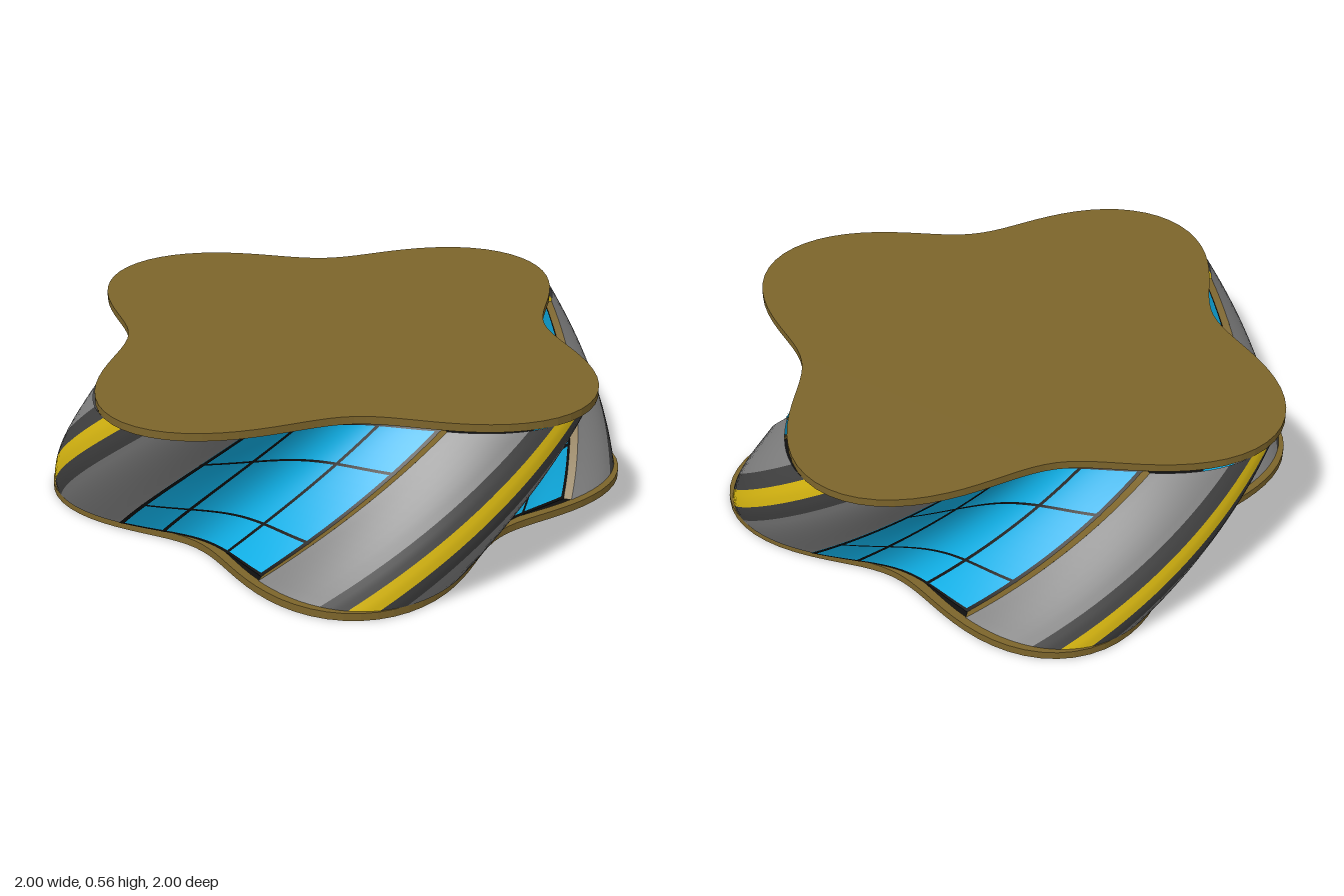
import * as THREE from 'three';

const RAD = Math.PI / 180;
const HEIGHT = 0.555, RIM = 0.026, SHIFT = -1.5;
const Y0 = RIM, Y1 = HEIGHT - RIM;
const mat = (color) => new THREE.MeshStandardMaterial({ color, side: THREE.DoubleSide });

// four-lobed plan, turned 45 degrees from floor to roof
const radius = (deg) => 0.847 + 0.143 * Math.cos(4 * deg * RAD);
const twist = (y) => 45 * y / HEIGHT;

// point on the twisted wall; deg is measured from a lobe crest, from +z towards +x
function wallPoint(deg, y, out) {
  const r = radius(deg) + out, a = (deg + twist(y)) * RAD;
  return [r * Math.sin(a), y, r * Math.cos(a)];
}

// surface patch from a rule (u, v) -> point
function patch(nu, nv, rule) {
  const pos = [], idx = [];
  for (let j = 0; j <= nv; j++)
    for (let i = 0; i <= nu; i++) pos.push(...rule(i / nu, j / nv));
  for (let j = 0; j < nv; j++)
    for (let i = 0; i < nu; i++) {
      const a = j * (nu + 1) + i, b = a + 1, c = a + nu + 1, d = c + 1;
      idx.push(a, b, d, a, d, c);
    }
  const g = new THREE.BufferGeometry();
  g.setAttribute('position', new THREE.Float32BufferAttribute(pos, 3));
  g.setIndex(idx);
  g.computeVertexNormals();
  return g;
}

// part of the wall between two angles and two heights
function wallPatch(d0, d1, y0, y1, out) {
  const nu = Math.max(1, Math.ceil((d1 - d0) / 2));
  const nv = Math.max(1, Math.ceil((y1 - y0) / 0.03));
  return patch(nu, nv, (u, v) => {
    const d = d0 + (d1 - d0) * u;
    return wallPoint(d + SHIFT, y0 + (y1 - y0) * v, out(d));
  });
}

// plan outline at a given turn, used by the rims and plates
function outline(turn, grow, Type = THREE.Shape) {
  const pts = [];
  for (let i = 0; i < 120; i++) {
    const r = radius(i * 3) + grow, a = (i * 3 + turn) * RAD;
    pts.push(new THREE.Vector2(r * Math.sin(a), -r * Math.cos(a)));
  }
  return new Type(pts);
}

export function createModel() {
  const model = new THREE.Group();
  model.name = 'twistedBuilding';
  const grey = mat(0x828282), dark = mat(0x424242), yellow = mat(0xdfbd12);
  const blue = mat(0x10b4ec), brown = mat(0x7d652b), black = mat(0x0f0f0f);
  const add = (parent, name, geometry, material) => {
    const m = new THREE.Mesh(geometry, material);
    m.name = name;
    parent.add(m);
    return m;
  };

  // roof slab, floor rim and floor plate
  const slab = (name, shape, depth, y, material) => {
    const g = new THREE.ExtrudeGeometry(shape, { depth, bevelEnabled: false });
    g.rotateX(-Math.PI / 2);
    add(model, name, g, material).position.y = y;
  };
  slab('roofSlab', outline(45, 0.01), RIM, HEIGHT - RIM, brown);
  const rim = outline(0, 0.01);
  rim.holes.push(outline(0, -0.025, THREE.Path));
  slab('floorRim', rim, RIM, 0, brown);
  slab('floorPlate', outline(0, -0.024), 0.015, 0.003, black);

  const EDGE = 22, WIN0 = -66 + 1, WIN1 = -EDGE;
  const flush = () => 0;
  // glass sinks gradually towards the edge with the jamb
  const sink = (d) => -0.03 * Math.max(0, (d - WIN0) / (WIN1 - WIN0)) ** 2;
  const proud = (d) => sink(d) + 0.003;

  for (let k = 0; k < 4; k++) {
    const side = new THREE.Group();
    side.name = 'wallSection' + (k + 1);
    side.rotation.y = k * Math.PI / 2;
    model.add(side);

    // lobe panel with its painted stripes
    const bands = [
      ['panel', -EDGE, -8, grey], ['darkStripe', -8, -2.9, dark],
      ['yellowStripe', -2.9, 2.9, yellow],
      ['darkStripe', 2.9, 8, dark], ['panel', 8, 25, grey],
    ];
    for (const [name, a, b, m] of bands) add(side, name, wallPatch(a, b, Y0, Y1, flush), m);

    // window glass and the jamb beside it
    add(side, 'glass', wallPatch(WIN0, WIN1, Y0, Y1, sink), blue);
    add(side, 'jamb', patch(1, 18, (u, v) =>
      wallPoint(WIN1 + SHIFT, Y0 + (Y1 - Y0) * v, -0.03 * (1 - u))), brown);

    // window bars and frame
    const w = WIN1 - WIN0;
    for (const f of [0.012, 0.23, 0.7, 0.988]) {
      const c = WIN0 + w * f;
      add(side, 'uprightBar', wallPatch(c - 0.45, c + 0.45, Y0, Y1, proud), black);
    }
    for (const y of [Y0 + 0.005, 0.163, 0.395, Y1 - 0.005])
      add(side, 'crossBar', wallPatch(WIN0, WIN1, y - 0.004, y + 0.004, proud), black);
  }
  return model;
}
